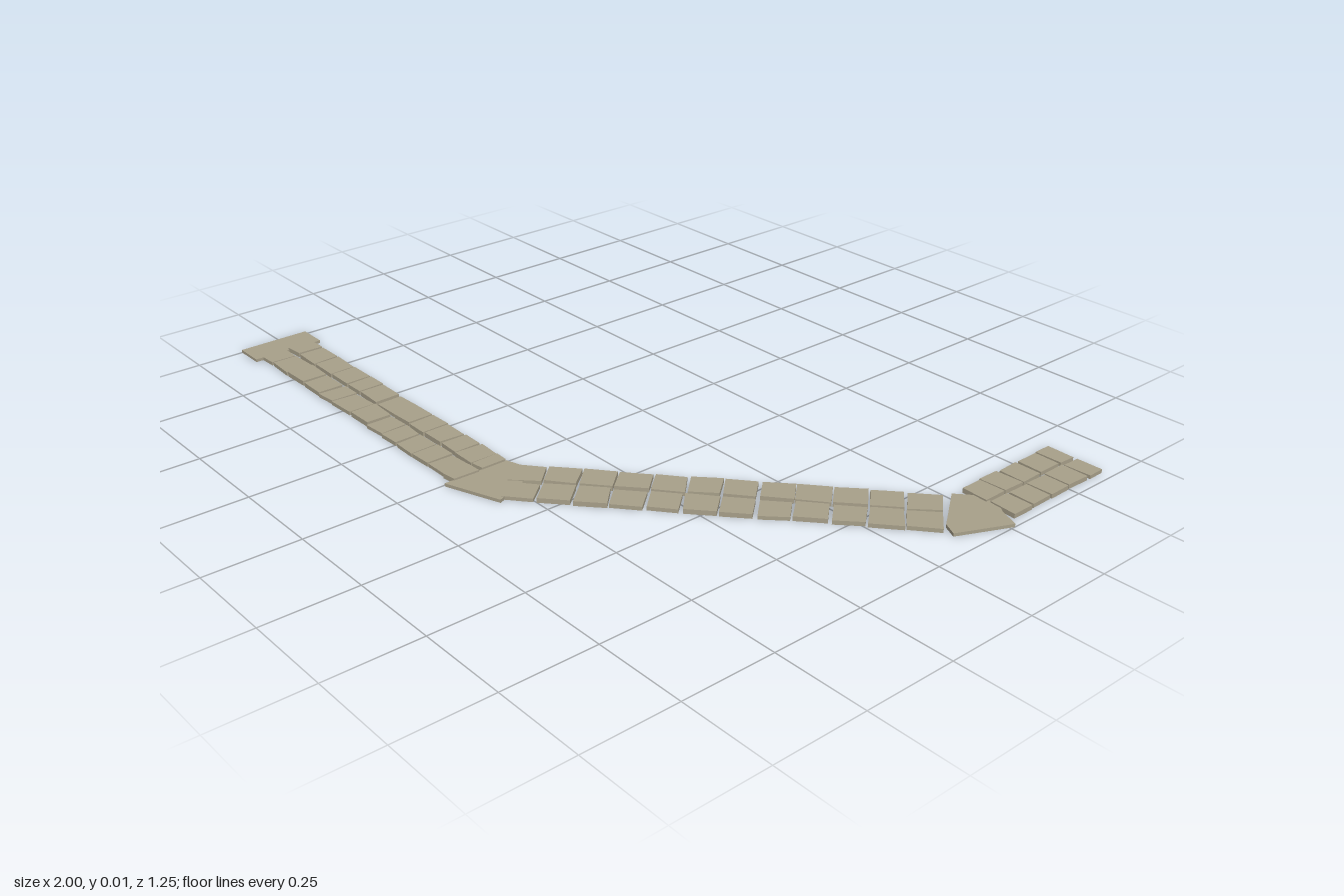
import * as THREE from 'three';

const stoneMat = new THREE.MeshStandardMaterial({ color: 0xa8a08a });
stoneMat.name = 'sandstone';

// Small seeded generator for the hand-cut irregularity, returns -1..1
let seed = 7;
function jitter(amount) {
  seed = (seed * 16807) % 2147483647;
  return (seed / 2147483647 * 2 - 1) * amount;
}

// Flat slab from a ground outline of [x, z] points, standing on y = 0
function slab(name, points, height) {
  const shape = new THREE.Shape(points.map(([x, z]) => new THREE.Vector2(x, -z)));
  const geo = new THREE.ExtrudeGeometry(shape, { depth: height, bevelEnabled: false });
  geo.rotateX(-Math.PI / 2);
  const mesh = new THREE.Mesh(geo, stoneMat);
  mesh.name = name;
  return mesh;
}

// Two rows of paving stones along local x; cuts are the joints between stones
function pavedRun(name, cuts, half = 0.078) {
  const run = new THREE.Group();
  run.name = name;
  for (let i = 0; i < cuts.length - 1; i++) {
    for (const side of [-1, 1]) {
      const a = cuts[i] + 0.003, b = cuts[i + 1] - 0.003;
      const inner = side * 0.005, outer = side * half;
      const j = () => jitter(0.003);
      const pts = [
        [a + j(), inner + j()], [b + j(), inner + j()],
        [b + j(), outer + j()], [a + j(), outer + j()],
      ];
      run.add(slab('pavingStone', pts, 0.0115 + jitter(0.0022)));
    }
  }
  return run;
}

export function createModel() {
  seed = 7;
  const path = new THREE.Group();
  path.name = 'stonePath';

  // Straight stretch on the right
  const first = pavedRun('rightStretch', [-0.92, -0.865, -0.78, -0.695, -0.612, -0.55,
    -0.463, -0.38, -0.31, -0.243, -0.168, -0.102, -0.032, 0.012]);
  first.position.z = 0.52;
  path.add(first);

  // Diagonal stretch
  const cuts = Array.from({ length: 13 }, (_, i) => i * 0.0855);
  const diagonal = pavedRun('diagonalStretch', cuts);
  diagonal.position.set(0.09, 0, 0.5);
  diagonal.rotation.y = Math.atan2(0.66, 0.75);
  path.add(diagonal);

  // Short stretch towards the back
  const last = pavedRun('backStretch', [0.29, 0.36, 0.428, 0.498, 0.574, 0.628]);
  last.position.x = 0.895;
  last.rotation.y = Math.PI / 2;
  path.add(last);

  // End slab and the two corner slabs
  path.add(slab('endSlab', [[-1, 0.42], [-1, 0.62], [-0.917, 0.62], [-0.917, 0.42]], 0.008));
  path.add(slab('frontCorner', [[0.005, 0.44], [0.005, 0.62], [0.155, 0.565],
    [0.135, 0.52], [0.15, 0.5], [0.055, 0.425]], 0.0085));
  path.add(slab('backCorner', [[0.815, -0.26], [0.865, -0.305], [0.925, -0.3],
    [0.945, -0.285], [1, -0.262], [0.937, -0.122], [0.9, -0.14]], 0.0085));
  return path;
}
